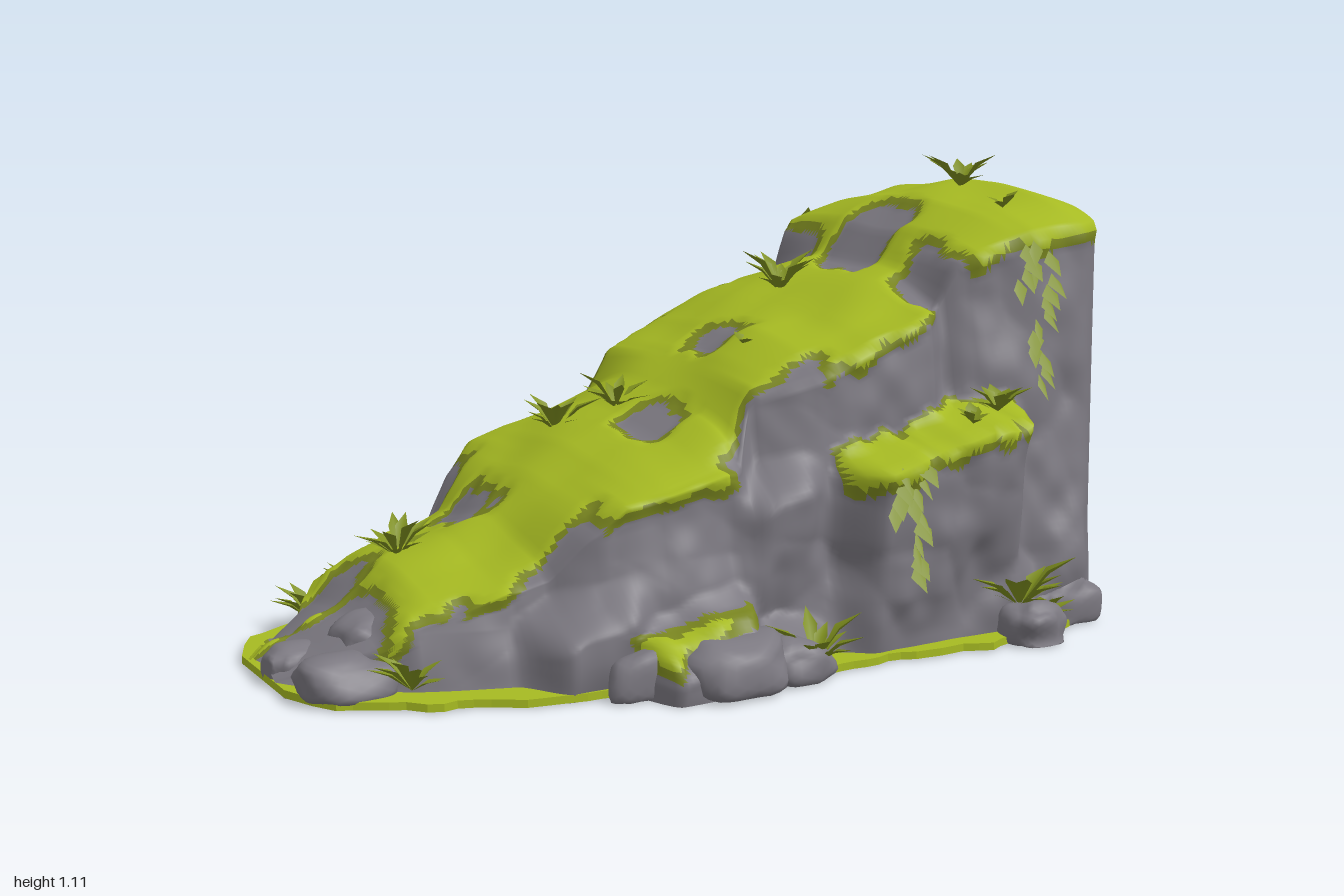
import * as THREE from 'three';
import { mergeVertices } from 'three/addons/utils/BufferGeometryUtils.js';

const mat = (name, color, side = THREE.FrontSide) => {
  const m = new THREE.MeshStandardMaterial({ color, side });
  m.name = name;
  return m;
};
const { clamp, lerp, smoothstep } = THREE.MathUtils;

// seeded hash, smooth value noise in -1..1, and rounded crag lumps that meet in creases
const hash = (x, y, z) => {
  const s = Math.sin(x * 127.1 + y * 311.7 + z * 74.7) * 43758.5453;
  return s - Math.floor(s);
};
function noise(x, y, z) {
  const f = [x, y, z].map(Math.floor);
  const w = [x - f[0], y - f[1], z - f[2]].map(t => t * t * (3 - 2 * t));
  let sum = 0;
  for (let k = 0; k < 8; k++) {
    const o = [k & 1, (k >> 1) & 1, k >> 2];
    sum += hash(f[0] + o[0], f[1] + o[1], f[2] + o[2]) *
      o.reduce((p, b, n) => p * (b ? w[n] : 1 - w[n]), 1);
  }
  return sum * 2 - 1;
}
function crag(u, v) {
  let d = 9;
  for (let i = -1; i < 2; i++) for (let j = -1; j < 2; j++) {
    const a = Math.floor(u) + i, b = Math.floor(v) + j;
    d = Math.min(d, (a + hash(a, b, 1) - u) ** 2 + (b + hash(a, b, 2) - v) ** 2);
  }
  return .5 - d;
}

// piecewise-linear curve through [x, value] stations
const curve = pts => x => {
  let i = 1;
  while (i < pts.length - 1 && x > pts[i][0]) i++;
  const [a, b] = [pts[i - 1], pts[i]];
  return lerp(a[1], b[1], clamp((x - a[0]) / (b[0] - a[0]), 0, 1));
};
const ridge = curve([[-1, .04], [-.9, .08], [-.8, .13], [-.7, .21], [-.55, .26], [-.45, .31], [-.35, .39],
  [-.25, .45], [-.1, .51], [0, .57], [.1, .65], [.2, .71], [.35, .77], [.5, .82], [.58, .85],
  [.65, .93], [.75, .99], [.93, 1.03], [1, 1]]);
const shoulder = curve([[-1, .02], [-.8, .1], [-.75, .15], [-.45, .24], [-.38, .33], [-.3, .39], [0, .46],
  [.06, .6], [.3, .68], [.57, .79], [.61, .88], [.8, .93], [1, .95]]);
const topWidth = curve([[-1, .08], [-.9, .16], [-.75, .27], [-.45, .33], [-.35, .39], [-.2, .43], [-.02, .43],
  [.05, .36], [.2, .42], [.5, .43], [.57, .35], [.65, .4], [.8, .44], [.95, .44], [1, .42]]);
const baseWidth = curve([[-1, .14], [-.9, .24], [-.7, .33], [-.5, .4], [-.3, .46], [0, .5], [.3, .52],
  [.6, .54], [.9, .52], [.97, .49], [1, .44]]);

// bare rock showing through the moss: x, z, half sizes
const bare = [[.63, -.02, .1, .1], [.17, 0, .045, .06], [-.08, .12, .05, .07], [-.45, -.1, .05, .08],
  [-.82, -.14, .11, .07], [-.95, .1, .19, .15]];
for (const s of [1, -1]) bare.push([.58, s * .33, .045, .1], [.1, s * .42, .11, .06], [-.42, s * .36, .07, .06],
  [-.72, s * .32, .08, .05]);

// outcrops on the side walls: x from, x to, top height at both, z reach, rounding, moss half height
const outcrops = [[.2, .75, .46, .57, .58, .04, .045], [-.36, .02, .15, .24, .62, .13, .035],
  [-.04, .2, .15, .1, .6, .1, -1], [.74, .97, .3, .36, .53, .15, -1],
  [-.06, .22, .44, .5, .49, .1, -1], [-.55, -.24, .18, .28, .48, .1, -1]];

// indexed geometry with one group per material slot
function grouped(pos, lists) {
  const g = new THREE.BufferGeometry();
  g.setAttribute('position', new THREE.Float32BufferAttribute(pos, 3));
  g.setIndex(lists.flat());
  let start = 0;
  lists.forEach((l, n) => { g.addGroup(start, l.length, n); start += l.length; });
  g.computeVertexNormals();
  return g;
}
// grid of points; the moss mask picks rock, moss or fringe for each triangle
function mossyGrid(pos, mask, cols, rows, flip) {
  const lists = [[], [], []];
  const tri = (a, b, c) => {
    const m = (mask[a] + mask[b] + mask[c]) / 3;
    lists[m < 0 ? 0 : m < .016 ? 2 : 1].push(a, flip ? c : b, flip ? b : c);
  };
  for (let i = 0; i < cols; i++) for (let j = 0; j < rows; j++) {
    const a = i * (rows + 1) + j, b = a + rows + 1;
    tri(a, b, a + 1);
    tri(b, b + 1, a + 1);
  }
  return grouped(pos, lists);
}

export function createModel() {
  const root = new THREE.Group();
  const rock = mat('rock grey', 0x7b7880), moss = mat('moss green', 0xa6ba22), fringe = mat('moss fringe', 0x78841f);
  const leaf = mat('leaf green', 0x80911f, THREE.DoubleSide);
  const ground = [rock, moss, fringe];
  const add = (name, geo, material, x = 0, y = 0, z = 0) => {
    const m = new THREE.Mesh(geo, material);
    m.name = name;
    m.position.set(x, y, z);
    root.add(m);
  };

  // stepped hill: cross-sections lofted along x, with ledges and crags on the walls
  const NX = 160, NT = 180, W = .32, pos = [], mask = [];
  for (let i = 0; i <= NX; i++) for (let j = 0; j <= NT; j++) {
    const x = -1 + 2 * i / NX, t = j / NT;
    const a = topWidth(x), b = baseWidth(x), h = ridge(x), hs = shoulder(x);
    const wall = t < W || t > 1 - W, side = t < .5 ? 1 : -1;
    const s = Math.min(t, 1 - t) / W, q = (.5 - t) / (.5 - W);
    let y, z, m, shelf = -1;
    if (wall) {
      y = hs * s;
      z = lerp(b, a, Math.pow(s, .7));
      m = (s - 1) * hs;
      for (const [x0, x1, t0, t1, reach, round, half] of outcrops) {
        const top = lerp(t0, t1, (x - x0) / (x1 - x0)) + .015 * noise(x * 14, 1, 4), edge = Math.min(x - x0, x1 - x);
        const k = smoothstep(edge, 0, .09) * smoothstep(top - y, 0, round);
        z = lerp(z, Math.max(z, reach - .03 * smoothstep(top - y, .15, .4)), k);
        if (half > 0) shelf = Math.max(shelf, Math.min(half - Math.abs(y - top + round * .5), edge - .03) + .02 * noise(x * 25, y * 12, 2));
      }
    } else {
      y = hs + (h - hs) * (1 - Math.pow(Math.abs(q), 2.4));
      z = a * q;
      m = a * (1 - Math.abs(q));
    }
    m += .03 + .035 * noise(x * 16, y * 9, z * 13);
    for (const [px, pz, rx, rz] of bare) {
      const d = Math.pow(((x - px) / rx) ** 4 + ((z * (wall ? side : 1) - pz) / rz) ** 4, .25) - 1;
      m = Math.min(m, d * Math.min(rx, rz) + .02 * noise(x * 22, 3, z * 22));
    }
    m = Math.max(m, shelf);
    const lift = .014 * clamp(m / .025, 0, 1), fade = Math.min(1, y * 7);
    if (wall) {
      const lumps = .05 * crag(x * 5.5, y * 4.5) + .03 * noise(x * 7, y * 5, 3) + .012 * noise(x * 18, y * 14, 8);
      z = side * (z + lumps * fade * (1 - .7 * s) * smoothstep(1 - x, 0, .12) + lift);
    } else y += .018 * noise(x * 6, y * 4, z * 6 + 9) * fade;
    pos.push(x, y + lift * Math.min(1, y * 20), z);
    mask.push(m);
  }
  add('mossy hill', mossyGrid(pos, mask, NX, NT, false), ground);

  // sheer cliff end with a mossy lip, dropped in columns from the last section
  const NK = 40, cliff = [], lip = [], last = NX * (NT + 1);
  for (let j = 0; j <= NT; j++) for (let k = 0; k <= NK; k++) {
    const top = pos[(last + j) * 3 + 1], z = pos[(last + j) * 3 + 2], y = top * (1 - k / NK);
    cliff.push(1 - (k ? .014 + .014 * noise(y * 3, z * 4, 5) : 0), y, z);
    lip.push(Math.abs(z) < .43 && top > .85 ? y - top + .04 + .025 * noise(z * 12, 2, 7) : -1);
  }
  add('cliff face', mossyGrid(cliff, lip, NT, NK, true), ground);

  // irregular boulder with a flat foot
  function boulder(name, x, y, z, rx, ry, rz) {
    let g = new THREE.IcosahedronGeometry(1, 5);
    g.deleteAttribute('uv');
    g.deleteAttribute('normal');
    g = mergeVertices(g, 1e-4);
    const p = g.attributes.position, v = new THREE.Vector3();
    const box = c => Math.sign(c) * Math.pow(Math.abs(c), .8);
    for (let i = 0; i < p.count; i++) {
      v.fromBufferAttribute(p, i);
      const r = .95 + .22 * noise(v.x * 1.8 + x * 9, v.y * 1.8 + y * 9, v.z * 1.8 + Math.abs(z) * 9);
      p.setXYZ(i, Math.max(-1, x + box(v.x) * rx * r), Math.max(.002, y + box(v.y) * ry * r), z + box(v.z) * rz * r);
    }
    g.computeVertexNormals();
    add(name, g, rock);
  }
  for (const s of [1, -1]) {
    boulder('base boulder', -.11, .05, s * .58, .13, .08, .09);
    boulder('base boulder', .04, .04, s * .58, .09, .06, .06);
    boulder('base boulder', .7, .035, s * .6, .09, .07, .07);
    boulder('base boulder', .86, .04, s * .51, .11, .08, .06);
    boulder('base boulder', -.28, .04, s * .5, .11, .08, .06);
  }
  boulder('toe boulder', -.93, .03, .03, .08, .055, .055);
  boulder('toe boulder', -.88, .04, .2, .12, .06, .1);
  boulder('toe boulder', -.77, .07, .1, .1, .08, .09);

  // ragged moss carpet under the rocks, with a darker underside
  const skirt = curve([[-1, .14], [-.95, .25], [-.85, .34], [-.6, .44], [-.35, .49], [-.1, .58],
    [.1, .58], [.4, .59], [.7, .61], [.9, .55], [1, .44]]);
  const outline = [];
  for (const s of [1, -1]) for (let k = 0; k <= 60; k++) {
    const x = s * (-1 + k / 30);
    outline.push(new THREE.Vector2(x, -s * (skirt(x) + .02 * noise(x * 16, 4, 1))));
  }
  const shape = new THREE.Shape(outline);
  const carpet = new THREE.ExtrudeGeometry(shape, { depth: .018, bevelEnabled: false });
  carpet.rotateX(-Math.PI / 2);
  add('moss carpet', carpet, moss, 0, .002, 0);
  const underside = new THREE.ShapeGeometry(shape);
  underside.rotateX(Math.PI / 2);
  add('carpet underside', underside, fringe);

  // arching tuft of folded pointed leaves
  function tuft(x, y, z, size, seed, count = 13, broad = .15) {
    const p = [], idx = [];
    for (let n = 0; n < count; n++) {
      const a = n * 2.4 + seed, len = size * (.7 + .5 * hash(n, seed, 1)), up = .45 + .8 * hash(n, seed, 2);
      const dx = Math.cos(a), dz = Math.sin(a), w = size * broad, o = p.length / 3;
      const at = (r, h, k) => p.push(dx * r * len - dz * k, h * len, dz * r * len + dx * k);
      at(0, 0, 0); at(.45, up * .6, w); at(.45, up * .6, -w); at(.5, up * .53, 0); at(.95, up * .8, 0);
      idx.push(o, o + 3, o + 1, o, o + 2, o + 3, o + 1, o + 3, o + 4, o + 3, o + 2, o + 4);
    }
    add('leaf tuft', grouped(p, [idx]), leaf, x, y, z);
  }
  [[.87, 1.03, .05, .1], [.4, .78, -.06, .1], [-.08, .53, -.04, .09], [-.2, .47, -.13, .1], [-.65, .23, -.05, .1],
    [-.6, .03, -.44, .08]].forEach((t, n) => tuft(...t, n + 1));
  tuft(.16, .69, .16, .04, 31, 4, .4);
  tuft(.81, 1.0, .3, .04, 33, 4, .4);
  for (const s of [1, -1]) {
    tuft(.63, .55, s * .53, .07, 8, 12, .25);
    tuft(.55, .53, s * .54, .05, 41, 7, .3);
    tuft(.76, .04, s * .57, .09, 22, 8);
    tuft(.68, .08, s * .57, .13, 11, 16);
    tuft(.09, .03, s * .58, .11, 14);
    tuft(-.77, .03, s * .31, .1, 17);
  }

  // hanging vines: a string of folded diamond leaves
  function vine(x, top, z, length, side) {
    const p = [], idx = [], n = Math.round(length / .027);
    for (let k = 0; k < n; k++) {
      const o = p.length / 3, c = hash(k, x, 9) * 2 - 1, w = .01 + .018 * hash(k, x, 3);
      const cx = x + c * .03 * (1 - .5 * k / n), y = top - k * .027, zz = z + side * .012 * hash(k, x, 5);
      p.push(cx, y, zz, cx + w, y - .025, zz + side * .012, cx + c * .02, y - .06, zz + side * .036, cx - w, y - .025, zz + side * .012);
      idx.push(o, o + 1, o + 2, o, o + 2, o + 3);
    }
    add('hanging vine', grouped(p, [idx]), leaf);
  }
  for (const s of [1, -1]) {
    vine(.79, .94, s * .47, .34, s);
    vine(.35, .47, s * .585, .28, s);
    vine(.31, .46, s * .585, .12, s);
    vine(.74, .93, s * .465, .1, s);
  }
  return root;
}
